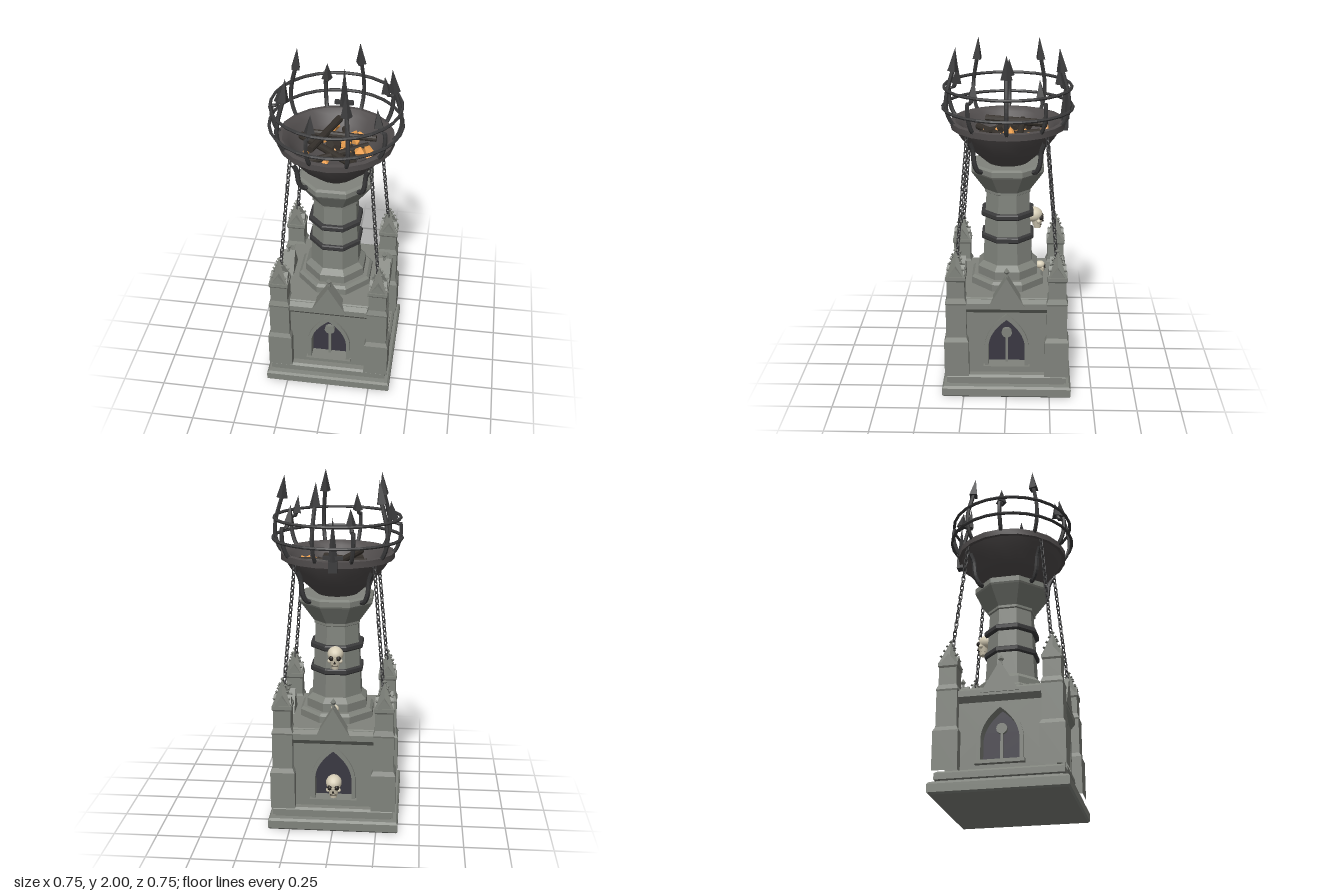
import * as THREE from 'three';
import { toCreasedNormals } from 'three/addons/utils/BufferGeometryUtils.js';

const mat = (color, flatShading = true) => new THREE.MeshStandardMaterial({ color, flatShading });
const stone = mat(0x80837c), iron = mat(0x3b3b3c), bowlMat = mat(0x504c4c, false), dark = mat(0x3a3842);
const bone = mat(0xd8cfb8, false), socket = mat(0x2a2622), wood = mat(0x35302b), ember = mat(0xf0a250);
const V = (x, y, z) => new THREE.Vector3(x, y, z);

function add(parent, name, geo, material, x = 0, y = 0, z = 0) {
  const m = new THREE.Mesh(geo, material);
  m.name = name;
  m.position.set(x, y, z);
  parent.add(m);
  return m;
}
function group(parent, name) {
  const g = new THREE.Group();
  g.name = name;
  parent.add(g);
  return g;
}
// Regular prism with flats on the axes; the profile lists [apothem, y] from bottom to top
function prism(profile, n) {
  const k = 1 / Math.cos(Math.PI / n);
  return new THREE.LatheGeometry(profile.map(([r, y]) => new THREE.Vector2(r * k, y)), n, Math.PI / n);
}
const tube = (pts, r, seg = 12, sides = 6) =>
  new THREE.TubeGeometry(new THREE.CatmullRomCurve3(pts), seg, r, sides);

// Pointed arch outline
function arch(path, w, y0, spring, apex) {
  const c = spring + (apex - spring) * 0.55;
  path.moveTo(-w, y0);
  path.lineTo(w, y0);
  path.lineTo(w, spring);
  path.quadraticCurveTo(w * 0.92, c, 0, apex);
  path.quadraticCurveTo(-w * 0.92, c, -w, spring);
  path.closePath();
  return path;
}
const extrude = (shape, depth) =>
  new THREE.ExtrudeGeometry(shape, { depth, bevelEnabled: false, curveSegments: 8 });

// Skull looking along +z, about one unit tall before scaling
function skull(parent, x, y, z, s) {
  const g = group(parent, 'skull');
  add(g, 'cranium', new THREE.SphereGeometry(0.4, 18, 14), bone, 0, 0.14, -0.06).scale.set(0.92, 0.9, 1.1);
  add(g, 'face', new THREE.CylinderGeometry(0.3, 0.2, 0.42, 10), bone, 0, -0.16, 0.12);
  add(g, 'jaw', new THREE.CylinderGeometry(0.2, 0.16, 0.18, 10), bone, 0, -0.42, 0.14);
  for (const sx of [-1, 1]) {
    add(g, 'eyeSocket', new THREE.SphereGeometry(0.12, 10, 8), socket, sx * 0.16, 0.03, 0.31);
    add(g, 'cheekbone', new THREE.SphereGeometry(0.1, 8, 6), bone, sx * 0.25, -0.13, 0.2);
  }
  add(g, 'noseHole', new THREE.ConeGeometry(0.06, 0.14, 4), socket, 0, -0.14, 0.39);
  add(g, 'mouthLine', new THREE.BoxGeometry(0.3, 0.025, 0.1), socket, 0, -0.33, 0.29);
  g.position.set(x, y, z);
  g.rotation.y = Math.PI;
  g.scale.setScalar(s);
}

function side(parent, isBack) {
  const g = group(parent, 'wallSide');
  const wall = new THREE.Shape([[-0.3, 0.13], [0.3, 0.13], [0.3, 0.6], [-0.3, 0.6]].map(p => new THREE.Vector2(...p)));
  wall.holes.push(arch(new THREE.Path(), 0.105, 0.18, 0.31, 0.475));
  add(g, 'wall', extrude(wall, 0.06), stone, 0, 0, 0.24);
  const frame = arch(new THREE.Shape(), 0.127, 0.18, 0.31, 0.51);
  frame.holes.push(arch(new THREE.Path(), 0.105, 0.18, 0.31, 0.475));
  add(g, 'archFrame', extrude(frame, 0.03), stone, 0, 0, 0.285);
  add(g, 'nichePanel', extrude(arch(new THREE.Shape(), 0.11, 0.175, 0.31, 0.48), 0.01), dark, 0, 0, 0.235);
  add(g, 'sill', new THREE.BoxGeometry(0.27, 0.02, 0.08), stone, 0, 0.172, 0.29);
  if (isBack) return g;
  // Mullion with a round head inside the niche
  add(g, 'mullion', new THREE.BoxGeometry(0.014, 0.18, 0.02), stone, 0, 0.26, 0.262);
  add(g, 'mullionDisc', new THREE.CylinderGeometry(0.03, 0.03, 0.02, 16), stone, 0, 0.37, 0.262).rotation.x = Math.PI / 2;
  return g;
}

function gable(g) {
  const tri = new THREE.Shape([[-0.105, 0.56], [0.105, 0.56], [0, 0.74]].map(p => new THREE.Vector2(...p)));
  add(g, 'gable', extrude(tri, 0.08), stone, 0, 0, 0.25);
  add(g, 'gableFinialStem', new THREE.CylinderGeometry(0.007, 0.01, 0.04, 6), stone, 0, 0.74, 0.29);
  add(g, 'gableFinial', new THREE.OctahedronGeometry(0.017), stone, 0, 0.765, 0.29).scale.y = 1.5;
}

function buttress(parent) {
  const g = group(parent, 'cornerButtress');
  add(g, 'buttress', prism([[0.07, 0.13], [0.07, 0.35], [0.058, 0.375], [0.058, 0.58], [0.061, 0.59], [0.05, 0.62],
    [0.05, 0.72], [0.056, 0.73], [0.056, 0.75], [0, 0.75]], 4), stone);
  // Star-shaped spire: ridges on the diagonals, hollows between them
  const spire = new THREE.ConeGeometry(1, 0.15, 8, 1);
  const p = spire.attributes.position;
  for (let i = 0; i < p.count; i++) {
    const x = p.getX(i), z = p.getZ(i), k = Math.abs(x * z) > 0.2 ? 0.075 : 0.03;
    p.setXYZ(i, x * k, p.getY(i), z * k);
  }
  add(g, 'spire', spire, stone, 0, 0.825, 0);
  for (let i = 0; i < 4; i++) {
    const a = Math.PI / 4 + i * Math.PI / 2;
    for (const t of [0.25, 0.5, 0.72]) {
      const r = 0.075 * (1 - t) + 0.004;
      add(g, 'crocket', new THREE.OctahedronGeometry(0.009), stone, Math.cos(a) * r, 0.755 + 0.15 * t, Math.sin(a) * r);
    }
    const gab = new THREE.Shape([[-0.045, 0], [0.045, 0], [0, 0.06]].map(q => new THREE.Vector2(...q)));
    const m = add(g, 'smallGable', extrude(gab, 0.03), stone, 0, 0.745, 0);
    m.rotation.y = i * Math.PI / 2;
    m.translateZ(0.02);
  }
  add(g, 'spireFinial', new THREE.OctahedronGeometry(0.013), stone, 0, 0.895, 0);
  g.position.set(0.288, 0, 0.288);
}

function chain(parent) {
  const g = group(parent, 'chain');
  const a = V(0.285, 0.8, 0.285), b = V(0.22, 1.53, 0.22), n = 24;
  const link = new THREE.TorusGeometry(0.012, 0.004, 5, 10).scale(0.85, 1.6, 1);
  const dir = b.clone().sub(a).normalize();
  for (let i = 0; i <= n; i++) {
    const m = add(g, 'chainLink', link, iron);
    m.position.lerpVectors(a, b, i / n);
    m.quaternion.setFromUnitVectors(V(0, 1, 0), dir);
    m.rotateY(Math.PI / 4 + i * Math.PI / 2);
  }
}

function spike(parent, angle, tall) {
  const g = group(parent, 'cageSpike');
  const top = tall ? 1.88 : 1.77;
  add(g, 'spikeBar', tube([V(0.29, 1.55, 0), V(0.325, 1.58, 0), V(0.355, 1.66, 0), V(0.352, 1.74, 0),
    V(tall ? 0.325 : 0.335, top - 0.04, 0), V(0.312, top, 0)], 0.012, 16), iron);
  const head = add(g, 'spikeHead', new THREE.ConeGeometry(0.032, tall ? 0.13 : 0.1, 4), iron, 0.305, top + (tall ? 0.055 : 0.04), 0);
  head.rotation.z = 0.12;
  g.rotation.y = -angle;
}

function fire(parent) {
  const g = group(parent, 'fire');
  // Logs as x, z of both ends, height and radius
  const logs = [[-0.013, -0.22, -0.125, 0.13, 1.55, 0.022], [-0.17, -0.082, 0.215, -0.067, 1.53, 0.02],
    [-0.21, -0.075, 0.085, 0.16, 1.51, 0.022], [0.175, -0.035, -0.13, 0.175, 1.5, 0.022],
    [0.025, -0.18, 0.065, -0.04, 1.51, 0.02], [0.07, -0.04, 0.125, 0.18, 1.48, 0.022]];
  for (const [x0, z0, x1, z1, y, r] of logs) {
    const d = V(x1 - x0, 0, z1 - z0);
    const m = add(g, 'log', new THREE.CylinderGeometry(r * 0.9, r, d.length(), 10), wood, (x0 + x1) / 2, y, (z0 + z1) / 2);
    m.quaternion.setFromUnitVectors(V(0, 1, 0), d.normalize());
  }
  for (const [x, z, r] of [[-0.015, 0, 0.05], [-0.16, -0.1, 0.04], [-0.11, -0.04, 0.035]])
    add(g, 'coal', new THREE.DodecahedronGeometry(r), wood, x, 1.5, z).rotation.set(x * 9, 1, z * 7);
  const lumps = [[0.11, -0.17], [0.1, -0.08], [-0.04, -0.21], [-0.16, 0.055], [0.2, 0.085], [0.135, 0.04],
    [-0.04, 0.14], [0.005, 0.07], [0.05, -0.02], [-0.08, -0.09], [0.08, 0.03], [0.09, -0.12], [0.03, 0.02], [0, -0.05], [0.18, 0.02]];
  lumps.forEach(([x, z], i) => {
    const m = add(g, 'ember', new THREE.OctahedronGeometry(0.027 + 0.006 * (i % 3)), ember, x, 1.485 + 0.01 * (i % 3), z);
    m.rotation.set(i * 1.3, i * 2.1, i * 0.7);
    m.scale.set(1.1, 0.8, 0.9);
  });
}

export function createModel() {
  const model = new THREE.Group();
  model.name = 'brazierTower';

  // Square base
  add(model, 'plinth', prism([[0, 0], [0.365, 0], [0.375, 0.01], [0.375, 0.055], [0.365, 0.068], [0.335, 0.07], [0.335, 0.08],
    [0.347, 0.085], [0.347, 0.118], [0.335, 0.13], [0, 0.13]], 4), stone);
  add(model, 'core', prism([[0.238, 0.13], [0.238, 0.6]], 4), stone);
  add(model, 'cornice', prism([[0.3, 0.515], [0.325, 0.545], [0.325, 0.58], [0.29, 0.605], [0, 0.605]], 4), stone);
  for (let i = 0; i < 4; i++) {
    const quarter = group(model, 'quarter');
    gable(side(quarter, i === 2));
    buttress(quarter);
    chain(quarter);
    // Claw holding the bowl on the diagonal
    const claw = group(quarter, 'bowlClaw');
    add(claw, 'claw', tube([V(0.18, 1.31, 0), V(0.225, 1.315, 0), V(0.255, 1.36, 0), V(0.27, 1.45, 0), V(0.295, 1.5, 0)], 0.014), iron);
    claw.rotation.y = -Math.PI / 4;
    quarter.rotation.y = i * Math.PI / 2;
  }

  // Octagonal shaft and its bands
  add(model, 'shaft', prism([[0.21, 0.6], [0.21, 0.645], [0.195, 0.66], [0.172, 0.66], [0.172, 0.71], [0.142, 0.74],
    [0.122, 1.16], [0.13, 1.165], [0.13, 1.18], [0.2, 1.285], [0.205, 1.295], [0.205, 1.325], [0.19, 1.335], [0, 1.335]], 8), stone);
  for (const y of [0.895, 1.035])
    add(model, 'shaftBand', prism([[0.12, y - 0.017], [0.145, y - 0.017], [0.15, y - 0.01], [0.15, y + 0.01], [0.145, y + 0.017], [0.12, y + 0.017]], 8), iron);

  // Fire bowl
  const bowl = [[0, 1.335], [0.12, 1.335], [0.165, 1.375], [0.215, 1.42], [0.27, 1.485], [0.305, 1.54], [0.325, 1.54], [0.325, 1.575],
    [0.3, 1.578], [0.265, 1.555], [0.24, 1.505], [0.18, 1.455], [0.1, 1.43], [0, 1.425]].map(p => new THREE.Vector2(...p));
  add(model, 'bowl', toCreasedNormals(new THREE.LatheGeometry(bowl, 20), 0.6), bowlMat);
  fire(model);

  // Cage of hoops and spikes
  for (const [y, r] of [[1.655, 0.366], [1.77, 0.357]])
    add(model, 'cageHoop', new THREE.TorusGeometry(r, 0.009, 6, 28), iron, 0, y, 0).rotation.x = Math.PI / 2;
  for (let i = 0; i < 10; i++) spike(model, i * Math.PI / 5, i % 2 === 0);

  // Dagger-like ornament at the back of the rim
  const orn = group(model, 'rimOrnament');
  add(orn, 'ornamentBlock', new THREE.BoxGeometry(0.05, 0.06, 0.04), iron, 0, 1.55, -0.32);
  add(orn, 'ornamentBar', new THREE.BoxGeometry(0.11, 0.02, 0.025), iron, 0, 1.6, -0.32);
  add(orn, 'ornamentBlade', new THREE.ConeGeometry(0.027, 0.24, 4), iron, 0, 1.7, -0.32);

  // Skulls on the back: shaft, ledge and niche
  skull(model, 0, 0.99, -0.155, 0.125);
  skull(model, 0, 0.68, -0.195, 0.065);
  skull(model, 0, 0.245, -0.275, 0.125);
  return model;
}
